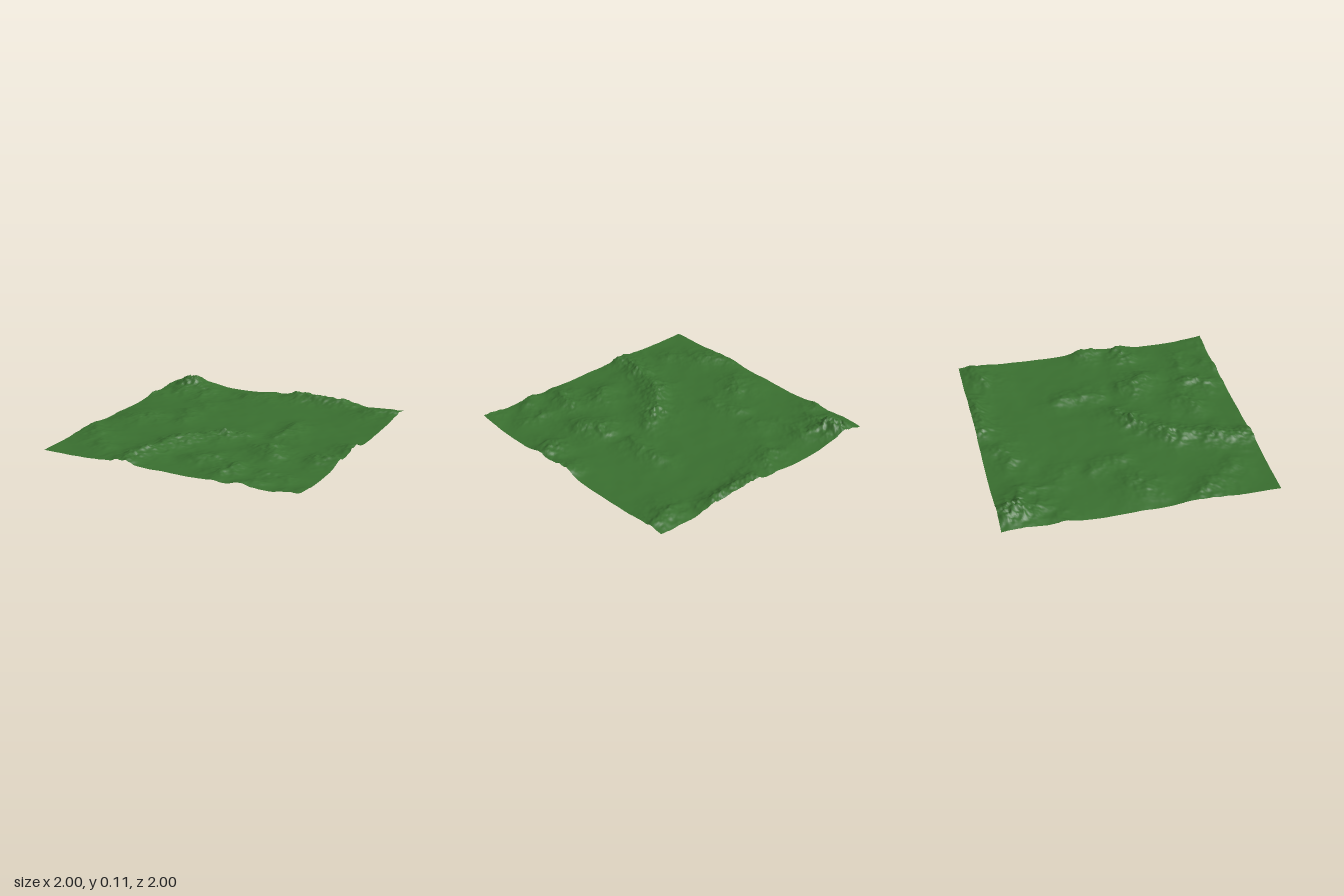
import * as THREE from 'three';

const SEGMENTS = 220;

// Hill crests: [x1, z1, x2, z2, rise, spread]
const CRESTS = [
  [-0.84, -0.9, -0.8, -0.84, 0.104, 0.13],
  [-0.72, -0.8, -0.58, -0.74, 0.034, 0.12],
  [-1.0, -0.52, -0.93, -0.56, 0.026, 0.1],
  [-0.25, -0.8, -0.12, -0.87, 0.036, 0.13],
  [0.12, -0.95, 0.52, -0.97, 0.05, 0.11],
  [0.78, -0.83, 0.95, -0.87, 0.042, 0.13],
  [-0.52, -0.55, -0.42, -0.46, 0.02, 0.12],
  [-0.49, -0.25, -0.46, -0.06, 0.026, 0.1],
  [-0.8, 0.1, -0.7, 0.0, 0.034, 0.13],
  [0.4, -0.3, 0.42, -0.02, 0.034, 0.1],
  [0.15, 0.1, 0.0, 0.2, 0.047, 0.11],
  [0.0, 0.2, -0.22, 0.43, 0.055, 0.11],
  [-0.22, 0.43, -0.32, 0.72, 0.046, 0.12],
  [-0.32, 0.72, -0.38, 0.97, 0.053, 0.11],
  [-0.95, 0.42, -0.85, 0.55, 0.036, 0.13],
  [-0.72, 0.68, -0.65, 0.74, 0.028, 0.12],
  [0.45, 0.28, 0.57, 0.38, 0.045, 0.13],
  [0.85, 0.32, 0.97, 0.28, 0.046, 0.12],
  [0.97, 0.02, 1.0, 0.08, 0.045, 0.1],
  [0.1, 0.68, 0.22, 0.64, 0.038, 0.12],
  [0.36, 0.84, 0.42, 0.68, 0.045, 0.11],
  [0.62, 0.7, 0.76, 0.74, 0.027, 0.12],
  [0.58, 0.96, 0.64, 0.9, 0.03, 0.1],
  [0.96, 0.98, 1.0, 1.0, 0.03, 0.12],
];

// Seeded lattice value in 0..1
function lattice(ix, iz) {
  let n = Math.imul(ix, 374761393) + Math.imul(iz, 668265263) + 1274126177;
  n = Math.imul(n ^ (n >>> 13), 1274126177);
  return ((n ^ (n >>> 16)) >>> 0) / 4294967295;
}

// Smooth value noise in -1..1
function noise(x, z) {
  const ix = Math.floor(x), iz = Math.floor(z);
  const fade = (t) => t * t * t * (t * (t * 6 - 15) + 10);
  const u = fade(x - ix), v = fade(z - iz);
  const mix = THREE.MathUtils.lerp;
  const a = mix(lattice(ix, iz), lattice(ix + 1, iz), u);
  const b = mix(lattice(ix, iz + 1), lattice(ix + 1, iz + 1), u);
  return mix(a, b, v) * 2 - 1;
}

function fractal(x, z, octaves) {
  let sum = 0, amp = 0.5;
  for (let i = 0; i < octaves; i++) {
    sum += amp * noise(x, z);
    x = x * 2.03 + 17.3;
    z = z * 2.03 + 9.1;
    amp *= 0.5;
  }
  return sum;
}

function distanceToCrest(x, z, [x1, z1, x2, z2]) {
  const dx = x2 - x1, dz = z2 - z1;
  const t = ((x - x1) * dx + (z - z1) * dz) / (dx * dx + dz * dz);
  const k = THREE.MathUtils.clamp(t, 0, 1);
  return Math.hypot(x - x1 - dx * k, z - z1 - dz * k);
}

function heightAt(x, z) {
  // Bent coordinates give the hills irregular outlines
  const wx = x + 0.07 * fractal(x * 5 + 31, z * 5, 4);
  const wz = z + 0.07 * fractal(x * 5, z * 5 + 57, 4);
  let cubes = 0;
  for (const crest of CRESTS) {
    const rise = crest[4] * Math.exp(-Math.pow(distanceToCrest(wx, wz, crest) / crest[5], 1.5));
    cubes += rise ** 3;
  }
  const hill = Math.cbrt(cubes);
  // Rugged detail grows with elevation, lowland stays smooth
  const rugged = 1 - 2 * Math.abs(fractal(x * 9 + 5, z * 9 + 3, 5));
  const grit = hill * hill * 4.5 * fractal(x * 38, z * 38, 2);
  const lowland = 0.016 * fractal(x * 2.6 + 8, z * 2.6 + 4, 3);
  return 0.022 + lowland + hill * (0.78 + 0.35 * rugged) + grit;
}

export function createModel() {
  const grass = new THREE.MeshStandardMaterial({ color: 0x3a7030, side: THREE.DoubleSide });
  grass.name = 'grass green';

  // Terrain sheet raised by the height rule
  const geometry = new THREE.PlaneGeometry(2, 2, SEGMENTS, SEGMENTS);
  geometry.rotateX(-Math.PI / 2);
  const p = geometry.attributes.position;
  for (let i = 0; i < p.count; i++) p.setY(i, heightAt(p.getX(i), p.getZ(i)));

  // Rest the lowest hollow on the ground
  geometry.computeBoundingBox();
  geometry.translate(0, 0.004 - geometry.boundingBox.min.y, 0);
  geometry.computeVertexNormals();

  const terrain = new THREE.Mesh(geometry, grass);
  terrain.name = 'terrain';
  const group = new THREE.Group();
  group.name = 'hillyTerrain';
  group.add(terrain);
  return group;
}
